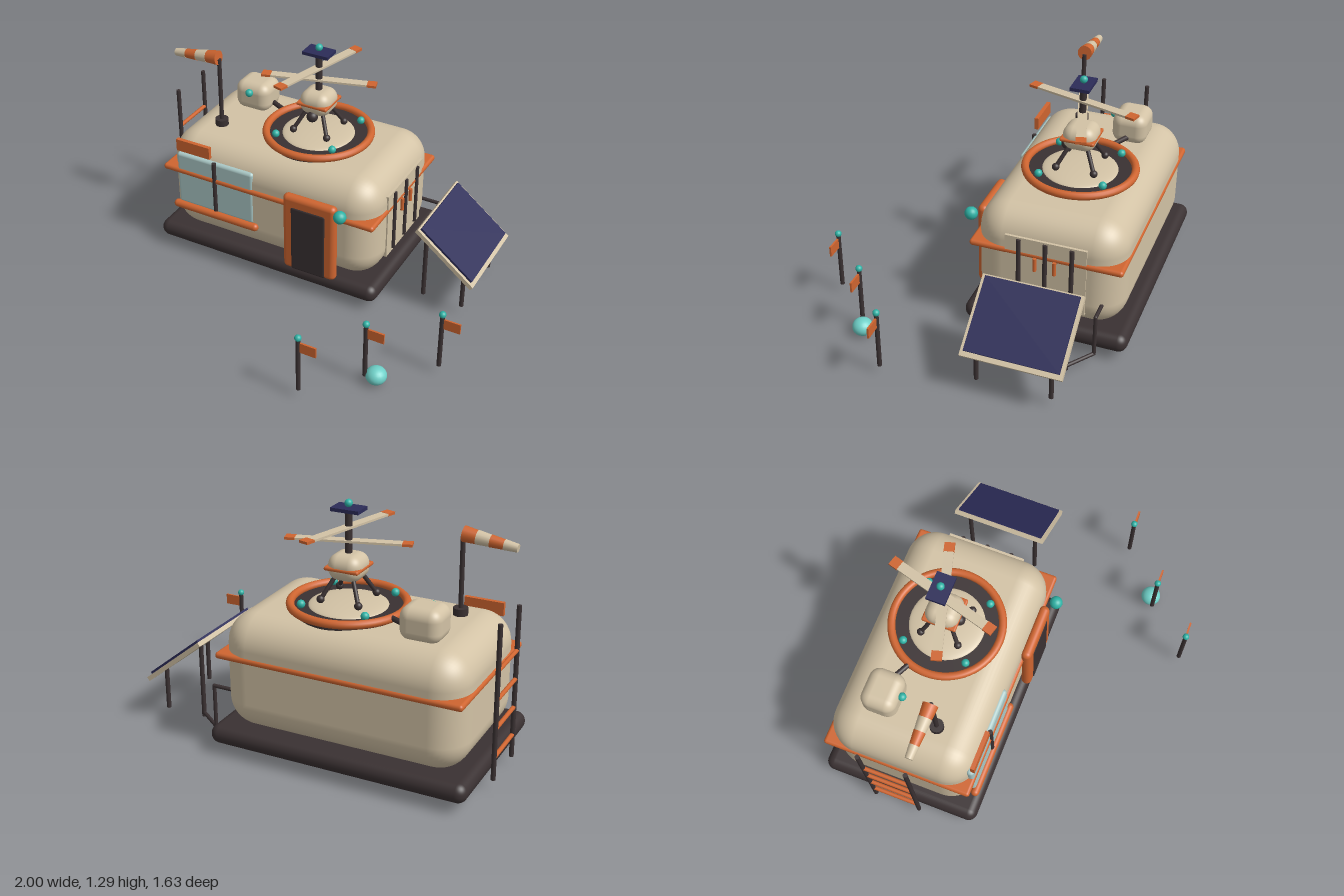
import * as THREE from 'three';
import { RoundedBoxGeometry } from 'three/addons/geometries/RoundedBoxGeometry.js';

const mat = (name, color) => {
  const m = new THREE.MeshStandardMaterial({ color });
  m.name = name;
  return m;
};

export function createModel() {
  const model = new THREE.Group();
  model.name = 'outpost';
  const cream = mat('cream', 0xd2c2a5);
  const orange = mat('orange', 0xcf6530);
  const dark = mat('charcoal', 0x3a3132);
  const teal = mat('teal', 0x2fb3a6);
  const aqua = mat('aqua', 0x6fd0c8);
  const glass = mat('glass', 0xabc9c7);
  const navy = mat('navy', 0x2c2c58);

  const V = (x, y, z) => new THREE.Vector3(x, y, z);
  const add = (name, geo, m, x = 0, y = 0, z = 0, parent = model) => {
    const mesh = new THREE.Mesh(geo, m);
    mesh.name = name;
    mesh.position.set(x, y, z);
    parent.add(mesh);
    return mesh;
  };
  const group = (name, x = 0, y = 0, z = 0, parent = model) => {
    const g = new THREE.Group();
    g.name = name;
    g.position.set(x, y, z);
    parent.add(g);
    return g;
  };
  const box = (name, m, w, h, d, x, y, z, parent) =>
    add(name, new THREE.BoxGeometry(w, h, d), m, x, y, z, parent);
  const soft = (name, m, w, h, d, r, x, y, z, parent) =>
    add(name, new RoundedBoxGeometry(w, h, d, 6, r), m, x, y, z, parent);
  const ball = (name, m, r, x, y, z, parent) =>
    add(name, new THREE.SphereGeometry(r, 20, 14), m, x, y, z, parent);
  // Round bar between two points, optionally tapered
  const rod = (name, m, a, b, r, parent, r2 = r) => {
    const d = b.clone().sub(a);
    const mid = a.clone().add(b).multiplyScalar(0.5);
    const mesh = add(name, new THREE.CylinderGeometry(r2, r, d.length(), 16), m, mid.x, mid.y, mid.z, parent);
    mesh.quaternion.setFromUnitVectors(V(0, 1, 0), d.normalize());
    return mesh;
  };

  // Base, cabin and belt
  soft('base', dark, 1.37, 0.1, 0.88, 0.049, -0.275, 0.102, -0.38);
  soft('cabin', cream, 1.28, 0.605, 0.79, 0.16, -0.27, 0.4325, -0.375);
  soft('belt', orange, 1.3, 0.034, 0.81, 0.016, -0.27, 0.525, -0.372);

  // Front window with sill, mullion and sign board
  soft('windowPane', glass, 0.485, 0.325, 0.04, 0.018, -0.588, 0.478, 0.006);
  rod('windowMullion', dark, V(-0.587, 0.33, 0.025), V(-0.587, 0.64, 0.025), 0.013);
  soft('windowSill', orange, 0.545, 0.045, 0.045, 0.022, -0.588, 0.302, 0.028);
  box('signBoard', orange, 0.21, 0.07, 0.022, -0.715, 0.697, 0.022);

  // Door
  soft('doorFrame', orange, 0.315, 0.475, 0.056, 0.027, 0.018, 0.373, 0.042);
  soft('doorLeaf', dark, 0.21, 0.41, 0.03, 0.014, 0.017, 0.345, 0.059);
  ball('doorLamp', teal, 0.035, 0.215, 0.59, 0.085);

  // Landing pad
  const pad = group('landingPad', -0.157, 0, -0.38);
  add('padDisc', new THREE.CylinderGeometry(0.285, 0.285, 0.03, 48), dark, 0, 0.737, 0, pad);
  add('padRim', new THREE.TorusGeometry(0.288, 0.021, 12, 64).rotateX(Math.PI / 2), orange, 0, 0.761, 0, pad);
  add('padDome', new THREE.SphereGeometry(0.2, 40, 12, 0, Math.PI * 2, 0, Math.PI / 2).scale(1, 0.13, 1), cream, 0, 0.75, 0, pad);

  // Rotor drone
  const drone = group('drone', -0.157, 0, -0.38);
  for (const sx of [-1, 1]) for (const sz of [-1, 1]) {
    ball('padLight', teal, 0.021, sx * 0.172, 0.782, sz * 0.172, pad);
    rod('droneLeg', dark, V(sx * 0.102, 0.795, sz * 0.102), V(sx * 0.045, 0.91, sz * 0.045), 0.011, drone);
    ball('droneFoot', dark, 0.02, sx * 0.102, 0.795, sz * 0.102, drone);
  }
  soft('droneBody', cream, 0.178, 0.135, 0.178, 0.058, 0, 0.952, 0, drone);
  soft('droneBelt', orange, 0.184, 0.02, 0.184, 0.009, 0, 0.951, 0, drone);
  ball('droneCamera', dark, 0.031, 0, 0.886, 0.075, drone);
  rod('droneMast', dark, V(0, 1.0, 0), V(0, 1.24, 0), 0.018, drone);
  const rotor = (y, angle) => {
    const g = group('rotor', 0, y, 0, drone);
    g.rotation.y = angle;
    box('rotorBlade', cream, 0.53, 0.011, 0.05, 0, 0, 0, g);
    for (const s of [-1, 1]) box('rotorTip', orange, 0.05, 0.013, 0.054, s * 0.287, 0, 0, g);
  };
  rotor(1.08, 0.28);
  rotor(1.15, 0.28 + Math.PI / 3.0 - 0.01);
  drone.children[drone.children.length - 1].rotation.y = 1.3;
  box('mastPanel', navy, 0.15, 0.018, 0.1, 0, 1.24, 0, drone);
  ball('mastLamp', teal, 0.02, 0, 1.268, 0, drone);

  // Roof unit and its pipe
  soft('roofUnit', cream, 0.212, 0.17, 0.19, 0.055, -0.627, 0.805, -0.528);
  ball('roofUnitLamp', teal, 0.022, -0.625, 0.845, -0.425);
  rod('roofPipe', dark, V(-0.55, 0.765, -0.535), V(-0.42, 0.765, -0.47), 0.014);

  // Windsock
  rod('windsockFoot', dark, V(-0.682, 0.73, -0.222), V(-0.682, 0.772, -0.222), 0.037);
  rod('windsockPole', dark, V(-0.682, 0.74, -0.222), V(-0.682, 1.14, -0.222), 0.012);
  const sockStart = V(-0.685, 1.147, -0.222), sockEnd = V(-0.957, 1.116, -0.222);
  for (let i = 0; i < 4; i++) {
    rod('windsockBand', i % 2 ? cream : orange,
      sockStart.clone().lerp(sockEnd, i / 4), sockStart.clone().lerp(sockEnd, (i + 1) / 4),
      0.04 - i * 0.0045, model, 0.034 - i * 0.0045);
  }

  // Ladder on the end wall
  const ladder = group('ladder', -0.987, 0, 0);
  for (const z of [-0.51, -0.255]) rod('ladderPost', dark, V(0, 0.05, z), V(0, 0.85, z), 0.012, ladder);
  for (let i = 0; i < 4; i++) {
    const y = 0.17 + i * 0.15;
    rod('ladderRung', orange, V(0, y, -0.51), V(0, y, -0.255), 0.011, ladder);
  }

  // Service hatch on the other end wall
  box('hatch', cream, 0.025, 0.39, 0.43, 0.365, 0.425, -0.375);
  for (const dz of [-0.14, 0, 0.14])
    rod('hatchBar', dark, V(0.38, 0.25, -0.375 + dz), V(0.38, 0.61, -0.375 + dz), 0.012);
  for (const dz of [-0.052, 0.052])
    rod('hatchHandle', orange, V(0.386, 0.445, -0.375 + dz), V(0.386, 0.52, -0.375 + dz), 0.01);

  // Tilted solar panel on four legs
  const solar = group('solarPanel', 0.724, 0.362, -0.382);
  solar.rotation.z = -0.675;
  box('solarFrame', cream, 0.42, 0.024, 0.525, 0, 0, 0, solar);
  box('solarCells', navy, 0.385, 0.02, 0.49, -0.008, 0.014, 0, solar);
  for (const z of [-0.57, -0.18]) {
    rod('solarLeg', dark, V(0.597, 0.05, z), V(0.597, 0.45, z), 0.012);
    rod('solarLeg', dark, V(0.82, 0.05, z), V(0.82, 0.28, z), 0.012);
  }

  // Power conduit from cabin to panel
  const run = [V(0.33, 0.3, -0.672), V(0.457, 0.3, -0.672), V(0.457, 0.07, -0.672), V(0.597, 0.07, -0.57)];
  for (let i = 0; i < 3; i++) {
    rod('conduit', dark, run[i], run[i + 1], 0.01);
    ball('conduitElbow', dark, 0.01, run[i + 1].x, run[i + 1].y, run[i + 1].z);
  }

  // Marker flags and ground beacon
  for (const [x, z] of [[0.36, 0.795], [0.603, 0.55], [0.9, 0.308]]) {
    const flag = group('markerFlag', x, 0, z);
    rod('flagPole', dark, V(0, 0.05, 0), V(0, 0.37, 0), 0.012, flag);
    box('flagCloth', orange, 0.09, 0.058, 0.01, 0.053, 0.325, 0, flag);
    ball('flagLamp', teal, 0.018, 0, 0.38, 0, flag);
  }
  ball('groundBeacon', aqua, 0.055, 0.655, 0.05, 0.525).scale.y = 0.86;

  return model;
}
